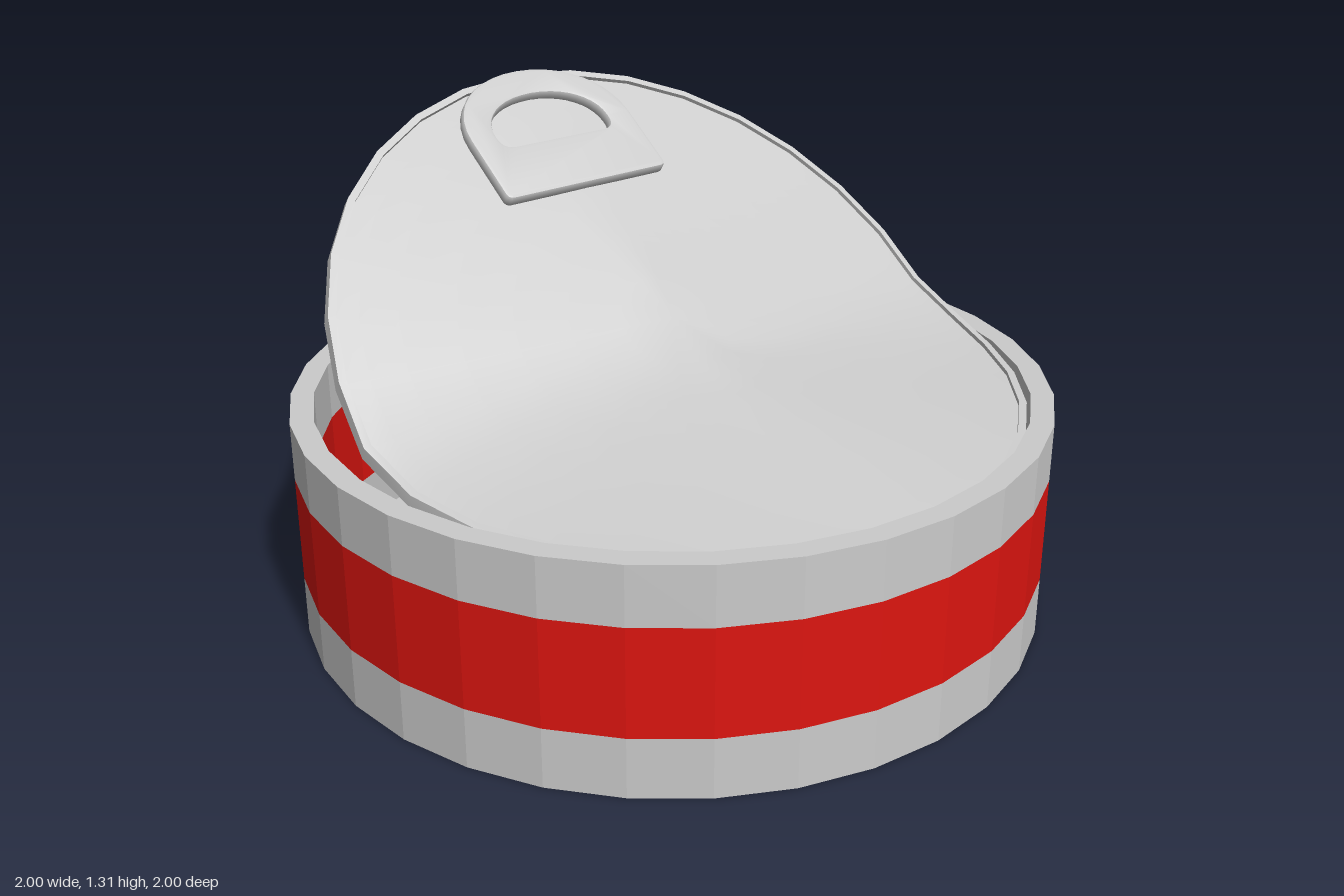
import * as THREE from 'three';
import { toCreasedNormals } from 'three/addons/utils/BufferGeometryUtils.js';

const SIDES = 32, LID_R = 0.93;

function lathe(points) {
  return new THREE.LatheGeometry(points.map(([r, y]) => new THREE.Vector2(r, y)), SIDES);
}

// Straight-line interpolation through [x, y] points
function along(points, x) {
  let i = 0;
  while (i < points.length - 2 && x > points[i + 1][0]) i++;
  const [a, b] = [points[i], points[i + 1]];
  return a[1] + (b[1] - a[1]) * (x - a[0]) / (b[0] - a[0]);
}

// Height of the bent lid at its rim, and along its middle ridge
const RIM = [[-0.72, 1.27], [0, 0.65], [0.18, 0.588], [0.36, 0.56], [0.93, 0.525]];
const RIDGE = [[-0.72, 1.27], [0.1, 0.69], [0.93, 0.525]];

// Bends a flat disc: the left part folds upward, the middle bulges
function bendLid(geometry) {
  const pos = geometry.attributes.position;
  for (let i = 0; i < pos.count; i++) {
    const flatX = pos.getX(i), h = pos.getY(i), z = pos.getZ(i);
    const x = flatX < 0 ? flatX * 0.72 / LID_R : flatX;
    const halfWidth = Math.sqrt(Math.max(LID_R ** 2 - flatX ** 2, 1e-6));
    const bulge = Math.max(0, 1 - Math.abs(z) / halfWidth);
    const rim = along(RIM, x), ridge = along(RIDGE, x);
    const tilt = THREE.MathUtils.clamp(0.35 - flatX * 1.5, 0.08, 0.7);
    pos.setXYZ(i, x + Math.sin(tilt) * h, rim + (ridge - rim) * bulge + Math.cos(tilt) * h, z);
  }
  return toCreasedNormals(geometry, 0.6);
}

// Rounded D outline: round end at y0, straight end at y1
function dOutline(path, half, y0, y1, shoulder, corner) {
  path.moveTo(0, y0);
  path.bezierCurveTo(half * 0.6, y0, half, y0 + shoulder * 0.45, half, y0 + shoulder);
  path.lineTo(half, y1 - corner);
  path.quadraticCurveTo(half, y1, half - corner, y1);
  path.lineTo(-half + corner, y1);
  path.quadraticCurveTo(-half, y1, -half, y1 - corner);
  path.lineTo(-half, y0 + shoulder);
  path.bezierCurveTo(-half, y0 + shoulder * 0.45, -half * 0.6, y0, 0, y0);
  return path;
}

export function createModel() {
  const model = new THREE.Group();
  const can = new THREE.MeshStandardMaterial({ color: 0xcccccc, flatShading: true });
  const red = new THREE.MeshStandardMaterial({ color: 0xdd1510, flatShading: true });
  const grey = new THREE.MeshStandardMaterial({ color: 0xcccccc, side: THREE.DoubleSide });
  const add = (name, geometry, material) => {
    const mesh = new THREE.Mesh(geometry, material);
    mesh.name = name;
    model.add(mesh);
    return mesh;
  };

  // Lower wall with a raised floor, hollow underneath
  add('base', lathe([[0, 0.085], [0.84, 0.085], [0.84, 0], [1, 0], [1, 0.16]]), can);
  add('floor', lathe([[0.94, 0.16], [0.94, 0.02], [0.84, 0.02], [0.84, 0.09], [0, 0.09]]), can);

  // Coloured band, outside and inside
  add('bandOutside', lathe([[1, 0.16], [1, 0.445]]), red);
  add('bandInside', lathe([[0.94, 0.445], [0.94, 0.16]]), red);

  // Upper wall and rim
  add('rim', lathe([[1, 0.445], [1, 0.6], [0.94, 0.6], [0.94, 0.445]]), can);

  // Peeled lid: thin panel with a raised lip
  const panel = [0, 0.15, 0.3, 0.45, 0.6, 0.75, 0.85, 0.91];
  const section = [
    ...panel.slice().reverse().map(r => [r, 0.01]).reverse(),
    [0.91, 0], [LID_R, 0], [LID_R, 0.034], [0.91, 0.034],
    ...panel.slice().reverse().map(r => [r, 0.022]),
  ];
  add('lid', bendLid(lathe(section)), grey);

  // Pull tab lying on the raised end of the lid
  const outline = dOutline(new THREE.Shape(), 0.255, 0.01, 0.41, 0.2, 0.01);
  outline.holes.push(dOutline(new THREE.Path(), 0.195, 0.08, 0.265, 0.13, 0.05));
  const tabGeometry = new THREE.ExtrudeGeometry(outline, {
    depth: 0.02, bevelThickness: 0.008, bevelSize: 0.01, bevelSegments: 2, curveSegments: 10,
  });
  const tab = add('pullTab', toCreasedNormals(tabGeometry, 0.7), grey);
  const down = new THREE.Vector3(0.82, -0.58, 0).normalize();
  const normal = new THREE.Vector3(-down.y, down.x, 0);
  tab.applyMatrix4(new THREE.Matrix4()
    .makeBasis(new THREE.Vector3(0, 0, 1), down, normal)
    .setPosition(-0.707, 1.287, 0));

  return model;
}
